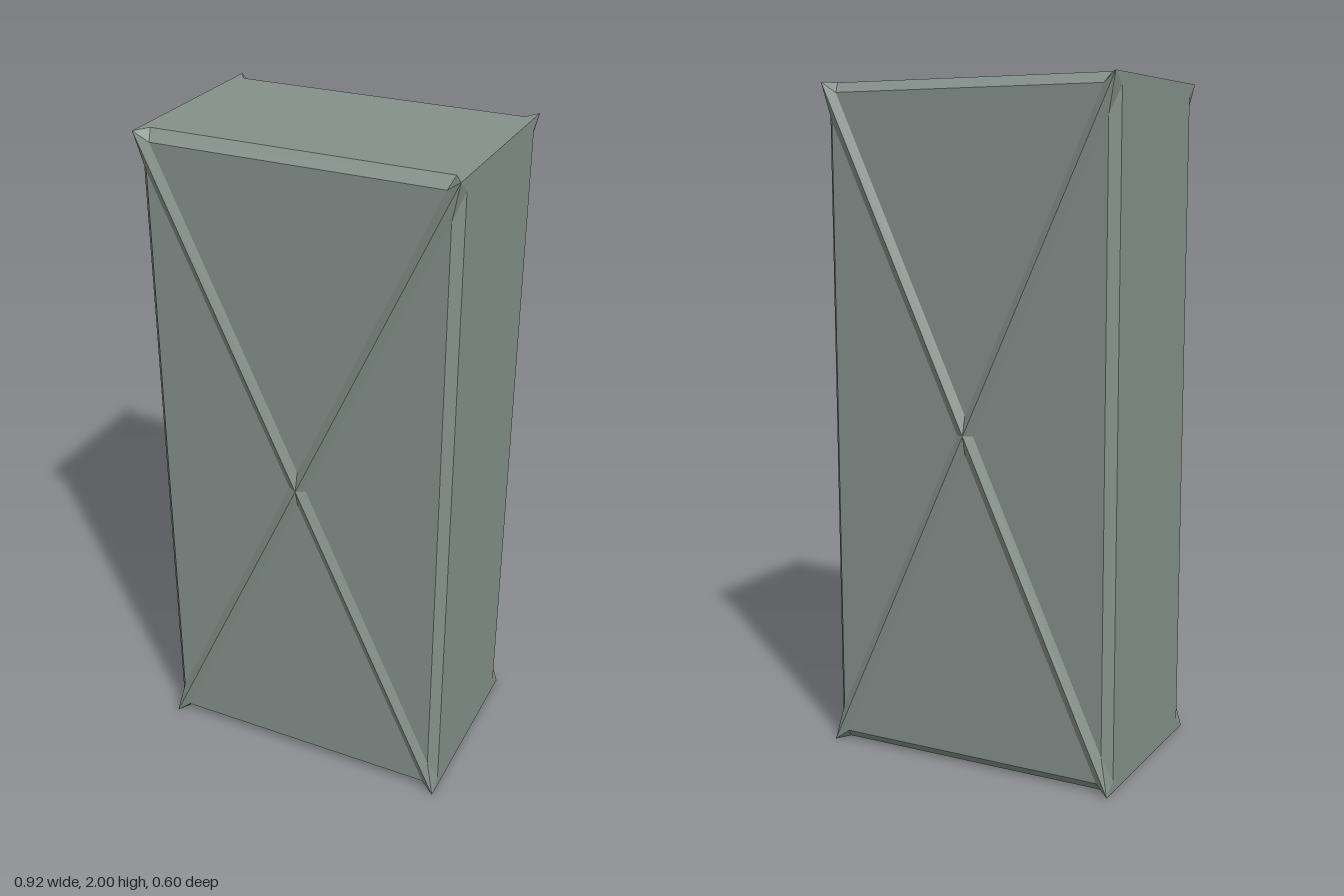
import * as THREE from 'three';

const W = 0.46, H = 1, D = 0.255;             // half width, half height, half depth of the core
const PANEL_Z = 0.285, CREST_Z = 0.3, LIP = 0.025;

// Flat-faced geometry from convex polygons, each fanned from its first corner
function polygons(list) {
  const pos = [];
  for (const p of list)
    for (let i = 1; i < p.length - 1; i++) pos.push(...p[0], ...p[i], ...p[i + 1]);
  const g = new THREE.BufferGeometry();
  g.setAttribute('position', new THREE.Float32BufferAttribute(pos, 3));
  g.computeVertexNormals();
  return g;
}

// Face panel with bevelled edges
function panelGeometry() {
  const signs = [[1, 1], [-1, 1], [-1, -1], [1, -1]];
  const outer = signs.map(([x, y]) => [x * W, y * H, D]);
  const inner = signs.map(([x, y]) => [x * (W - LIP), y * (H - 0.03), PANEL_Z]);
  const list = [inner];
  for (let i = 0; i < 4; i++) {
    const j = (i + 1) % 4;
    list.push([outer[i], outer[j], inner[j], inner[i]]);
  }
  return polygons(list);
}

// Half of a diagonal brace: a ridge from the face centre to one pointed corner
function braceGeometry(sx, sy) {
  const tip = [W, H, CREST_Z], centre = [0, 0, CREST_Z], corner = [W, H, D];
  const topLow = [0.432, H, D], topHigh = [0.42, 0.97, PANEL_Z];
  const sideLow = [W, 0.965, D], sideHigh = [W - LIP, 0.889, PANEL_Z];
  const list = [
    [tip, topLow, topHigh, [0, 0.057, PANEL_Z], centre],
    [tip, centre, [0.026, 0, PANEL_Z], sideHigh, sideLow],
    [tip, corner, topLow],
    [tip, sideLow, corner],
  ].map((p) => {
    const q = p.map(([x, y, z]) => [x * sx, y * sy, z]);
    return sx * sy > 0 ? q : [q[0], ...q.slice(1).reverse()];
  });
  return polygons(list);
}

export function createModel() {
  const model = new THREE.Group();
  model.name = 'bracedCrate';
  const paint = new THREE.MeshStandardMaterial({ color: 0x84908a });
  paint.name = 'greyGreen';
  const add = (parent, name, geometry) => {
    const m = new THREE.Mesh(geometry, paint);
    m.name = name;
    parent.add(m);
    return m;
  };

  // Core block, raised above the recess underneath
  const recess = 0.02;
  add(model, 'body', new THREE.BoxGeometry(2 * W, 2 * H - recess, 2 * D)).position.y = H + recess / 2;

  // Rim around the recessed base
  const rect = (S, w, d) => {
    const s = new S();
    s.moveTo(-w, -d).lineTo(w, -d).lineTo(w, d).lineTo(-w, d).closePath();
    return s;
  };
  const rim = rect(THREE.Shape, W, D);
  rim.holes.push(rect(THREE.Path, 0.425, 0.195));
  const rimGeometry = new THREE.ExtrudeGeometry(rim, { depth: recess, bevelEnabled: false });
  add(model, 'baseRim', rimGeometry.rotateX(-Math.PI / 2));

  // Cross-braced faces, front and back
  for (const [name, angle] of [['frontFace', 0], ['backFace', Math.PI]]) {
    const face = new THREE.Group();
    face.name = name;
    face.position.y = H;
    face.rotation.y = angle;
    add(face, 'panel', panelGeometry());
    for (const sx of [1, -1])
      for (const sy of [1, -1])
        add(face, (sy > 0 ? 'upper' : 'lower') + (sx > 0 ? 'Left' : 'Right') + 'Brace', braceGeometry(sx, sy));
    model.add(face);
  }
  return model;
}
